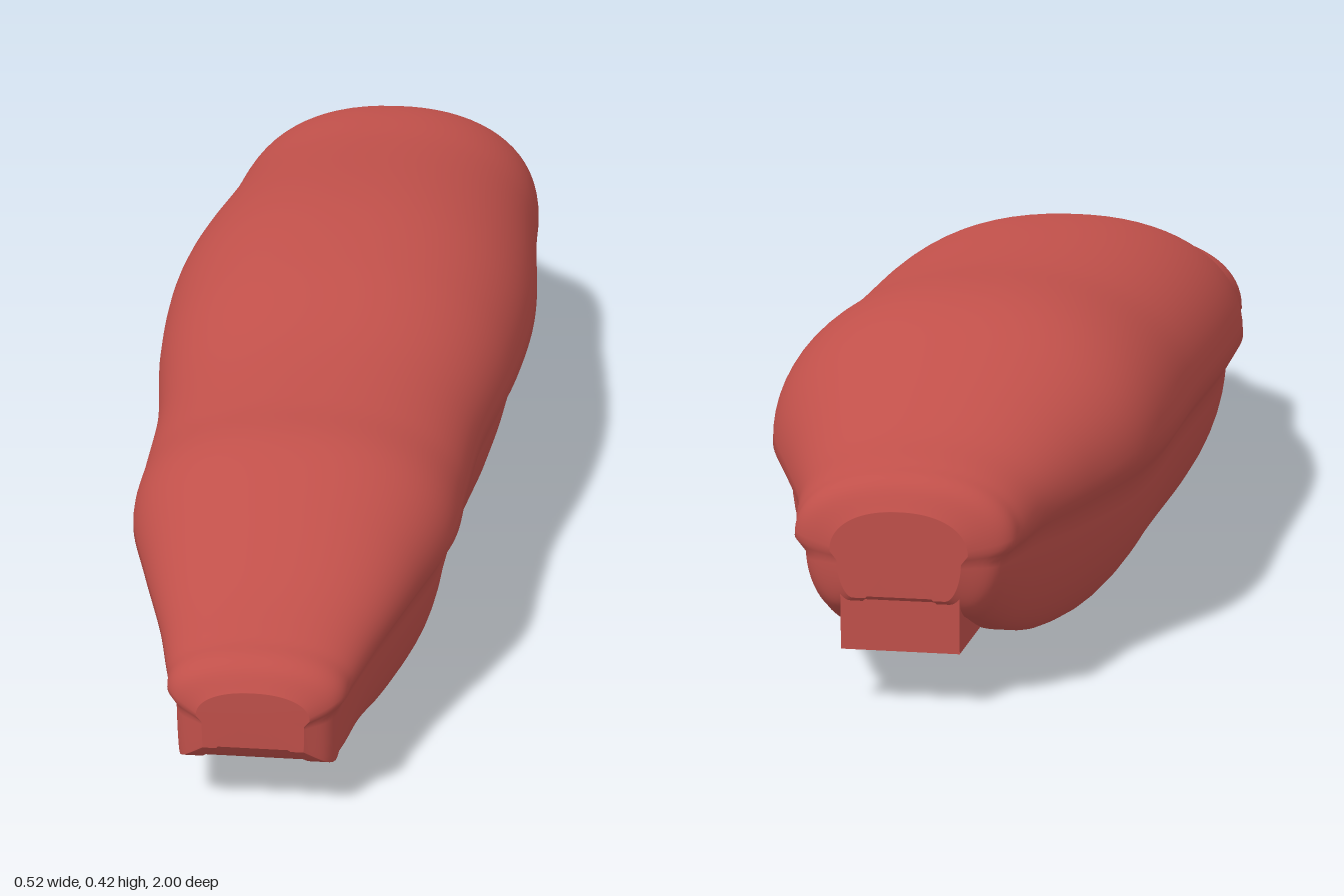
import * as THREE from 'three';

// Hull stations: z, top height, bottom height, half width, chine height, keel half width
const STATIONS = [
  [-1.0, 0.215, 0.12, 0.075, 0.17, 0.05],
  [-0.985, 0.24, 0.105, 0.11, 0.175, 0.065],
  [-0.95, 0.256, 0.088, 0.125, 0.18, 0.075],
  [-0.88, 0.277, 0.06, 0.142, 0.19, 0.085],
  [-0.8, 0.315, 0.036, 0.176, 0.2, 0.095],
  [-0.7, 0.37, 0.021, 0.222, 0.218, 0.1],
  [-0.62, 0.393, 0.015, 0.238, 0.226, 0.1],
  [-0.4, 0.401, 0.009, 0.246, 0.232, 0.1],
  [0.0, 0.416, 0.001, 0.258, 0.236, 0.1],
  [0.2, 0.39, 0.003, 0.242, 0.225, 0.1],
  [0.4, 0.34, 0.006, 0.21, 0.21, 0.1],
  [0.55, 0.318, 0.01, 0.2, 0.2, 0.1],
  [0.66, 0.309, 0.014, 0.193, 0.19, 0.1],
  [0.76, 0.268, 0.024, 0.161, 0.172, 0.098],
  [0.86, 0.215, 0.047, 0.125, 0.148, 0.094],
  [0.94, 0.187, 0.056, 0.103, 0.136, 0.088],
  [0.985, 0.172, 0.064, 0.088, 0.13, 0.078],
  [1.0, 0.15, 0.082, 0.062, 0.12, 0.055],
];

// Half cross-section from the keel centre, around +x, to the top centre
function halfSection(z, [top, bottom, w, chine, keel]) {
  const fade = THREE.MathUtils.smoothstep(0.74 - Math.abs(z), 0, 0.22);
  const roof = bottom + 0.035 * fade + 0.002;
  const pts = [[0, roof], [keel * 0.35, roof], [keel * 0.65, roof], [keel * 0.7, roof - 0.004 * fade],
    [keel * 0.74, bottom + 0.004 * fade], [keel * 0.78, bottom], [keel * 0.92, bottom]];
  const kinkX = Math.max(keel, w * 0.9);
  const kinkY = chine - 0.19 * (chine - bottom);
  // Lower bilge
  for (let i = 0; i <= 12; i++) {
    const a = (1 - i / 12) * Math.PI / 2;
    pts.push([keel + (kinkX - keel) * Math.cos(a) ** 1.05, bottom + (kinkY - bottom) * (1 - Math.sin(a) ** 1.1)]);
  }
  // Flared chine
  pts.push([(kinkX + w) / 2, (kinkY + chine) / 2]);
  // Domed upper shell
  for (let i = 0; i <= 18; i++) {
    const a = (i / 18) * Math.PI / 2;
    pts.push([w * Math.max(0, Math.cos(a)) ** 0.9, chine + (top - chine) * Math.sin(a) ** 0.92]);
  }
  pts[pts.length - 1][0] = 0;
  return pts;
}

function hullGeometry() {
  const spline = new THREE.CubicInterpolant(STATIONS.map(s => s[0]), STATIONS.flatMap(s => s.slice(1)), 5);
  const positions = [], index = [];
  const rows = 160;
  let ring = 0;
  for (let i = 0; i <= rows; i++) {
    // Rows crowd towards both rounded ends
    const z = -Math.cos((i / rows) * Math.PI);
    const half = halfSection(z, Array.from(spline.evaluate(z)));
    const mirrored = half.slice(1, -1).reverse().map(([x, y]) => [-x, y]);
    const section = [...half, ...mirrored];
    ring = section.length;
    for (const [x, y] of section) positions.push(x, y, z);
  }
  for (let i = 0; i < rows; i++) {
    for (let j = 0; j < ring; j++) {
      const k = (j + 1) % ring;
      const a = i * ring + j, b = i * ring + k, c = a + ring, d = b + ring;
      index.push(a, b, c, b, d, c);
    }
  }
  // End caps
  const back = positions.length / 3, front = back + 1;
  positions.push(0, 0.165, -1, 0, 0.118, 1);
  for (let j = 0; j < ring; j++) {
    const k = (j + 1) % ring;
    index.push(back, k, j, front, rows * ring + j, rows * ring + k);
  }
  const geo = new THREE.BufferGeometry();
  geo.setAttribute('position', new THREE.Float32BufferAttribute(positions, 3));
  geo.setIndex(index);
  geo.computeVertexNormals();
  return geo;
}

export function createModel() {
  const group = new THREE.Group();
  group.name = 'pod';
  const material = new THREE.MeshStandardMaterial({ color: 0xc0504a });

  const hull = new THREE.Mesh(hullGeometry(), material);
  hull.name = 'hull';
  group.add(hull);

  // Narrow tab beneath the tail
  const tab = new THREE.Mesh(new THREE.BoxGeometry(0.13, 0.06, 0.14), material);
  tab.name = 'tailTab';
  tab.position.set(0, 0.092, -0.926);
  group.add(tab);

  return group;
}
